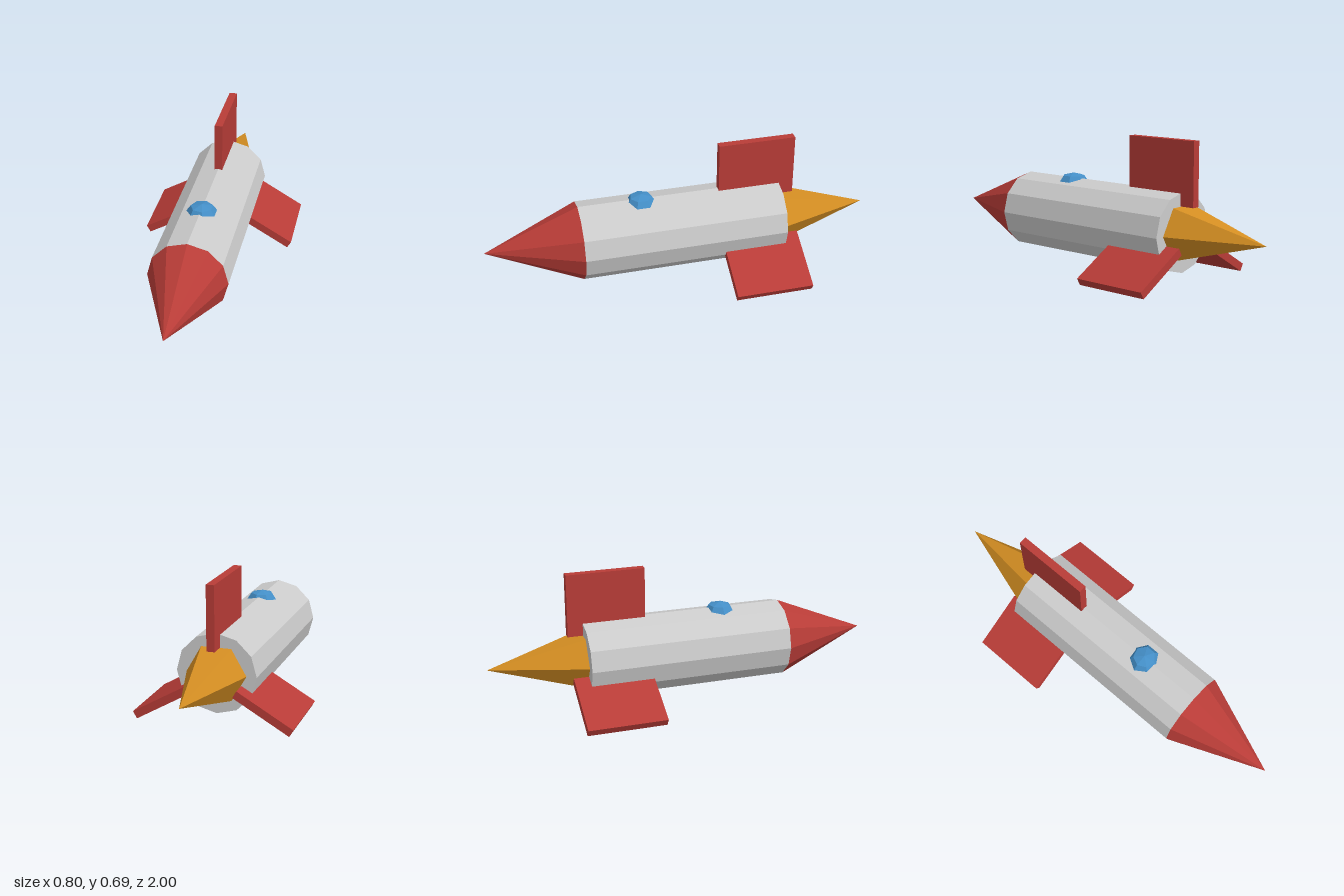
import * as THREE from 'three';

const AXIS_Y = 0.242; // height of the rocket's long axis
const BODY_R = 0.198;
const BODY_HALF = 0.522;

function paint(name, color) {
  const m = new THREE.MeshStandardMaterial({ color, flatShading: true });
  m.name = name;
  return m;
}

export function createModel() {
  const red = paint('red', 0xb83c37);
  const grey = paint('light grey', 0xcccccc);
  const gold = paint('gold', 0xd48e22);
  const blue = paint('blue', 0x448fc8);

  const model = new THREE.Group();
  model.name = 'rocket';

  function add(name, geometry, material, x, y, z, parent = model) {
    const mesh = new THREE.Mesh(geometry, material);
    mesh.name = name;
    mesh.position.set(x, y, z);
    parent.add(mesh);
    return mesh;
  }

  // Twelve-sided hull lying along z
  const hull = new THREE.CylinderGeometry(BODY_R, BODY_R, BODY_HALF * 2, 12).rotateX(Math.PI / 2);
  add('body', hull, grey, 0, AXIS_Y, 0);

  // Nose cone and tail flame
  const coneLength = 1 - BODY_HALF;
  const coneZ = BODY_HALF + coneLength / 2;
  const nose = new THREE.ConeGeometry(BODY_R, coneLength, 12).rotateX(Math.PI / 2);
  add('noseCone', nose, red, 0, AXIS_Y, coneZ);
  const flame = new THREE.ConeGeometry(0.148, coneLength, 6).rotateY(Math.PI / 6).rotateX(-Math.PI / 2);
  add('flame', flame, gold, 0, AXIS_Y, -coneZ);

  // Faceted cockpit dome sunk into the top of the hull
  const dome = new THREE.SphereGeometry(0.079, 7, 4).scale(1, 0.6, 1);
  add('cockpit', dome, blue, 0, 0.418, 0.2);

  // Three fins spaced evenly around the tail
  const fin = new THREE.BoxGeometry(0.04, 0.317, 0.397);
  ['topFin', 'rightFin', 'leftFin'].forEach((name, i) => {
    const pivot = new THREE.Group();
    pivot.name = name + 'Mount';
    pivot.position.set(0, AXIS_Y, -0.4);
    pivot.rotation.z = (i * Math.PI * 2) / 3;
    add(name, fin, red, 0, 0.289, 0, pivot);
    model.add(pivot);
  });

  return model;
}
